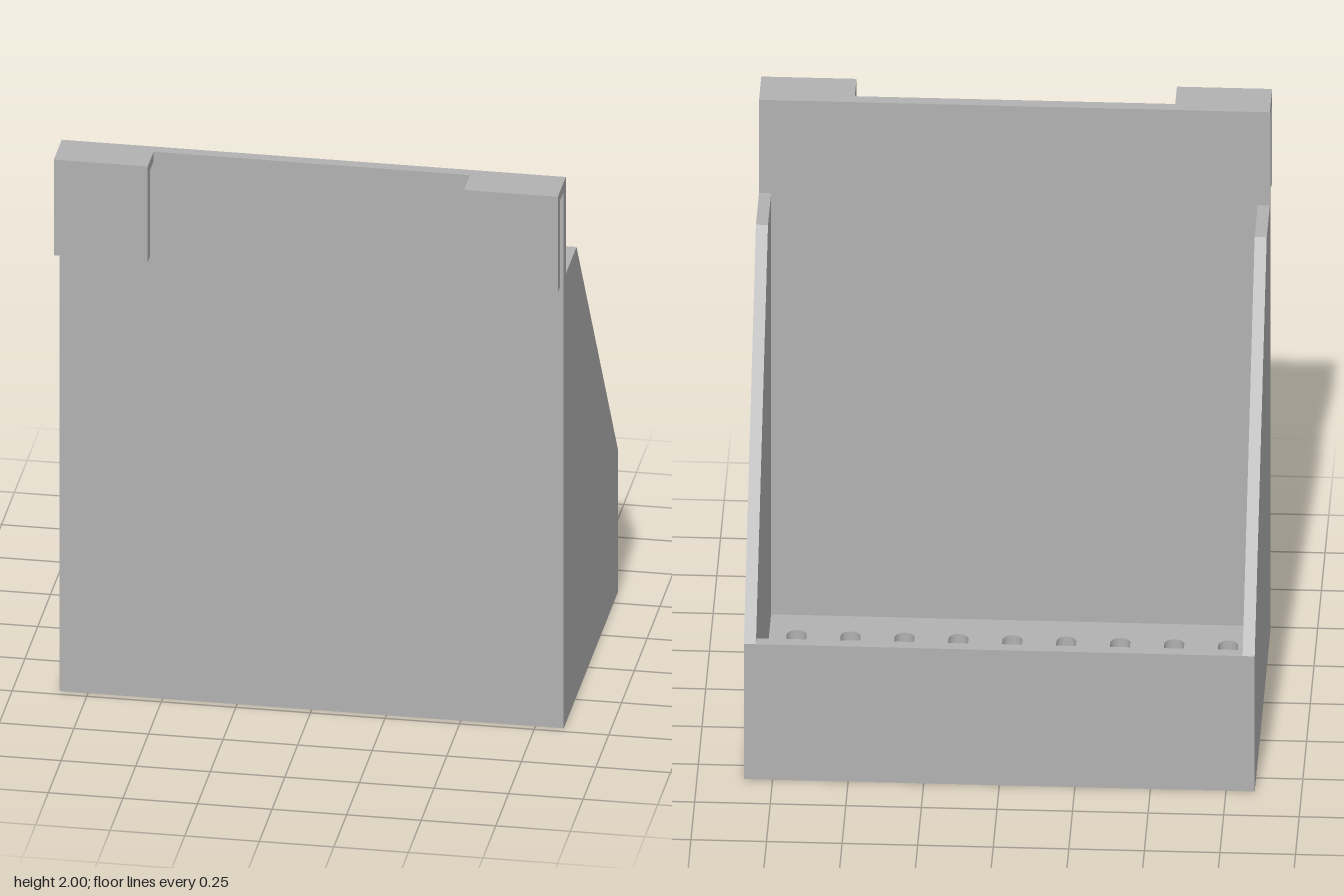
import * as THREE from 'three';

export function createModel() {
  const model = new THREE.Group();
  const grey = new THREE.MeshStandardMaterial({ color: 0xb2b2b2 });
  grey.name = 'light grey';

  const W = 0.845, T = 0.04;               // half width, wall thickness
  const BACK = -0.59, IN = 0.435, OUT = 0.475, HOOK = 0.59;

  const add = (name, geometry) => {
    const mesh = new THREE.Mesh(geometry, grey);
    mesh.name = name;
    model.add(mesh);
    return mesh;
  };
  // box given by its two extreme corners
  const box = (name, x0, x1, y0, y1, z0, z1) =>
    add(name, new THREE.BoxGeometry(x1 - x0, y1 - y0, z1 - z0))
      .position.set((x0 + x1) / 2, (y0 + y1) / 2, (z0 + z1) / 2);

  // tall hanging panel and low wall at the open end
  box('hangingPanel', -W, W, 0, 2, IN, OUT);
  box('lowWall', -W + T, W - T, 0, 0.515, BACK, BACK + T);

  // sloped side walls: profile drawn in (-z, y), then turned to run along x
  const profile = new THREE.Shape([
    [-IN, 0], [-BACK, 0], [-BACK, 0.515], [-0.225, 1.645], [-IN, 1.645],
  ].map(([a, b]) => new THREE.Vector2(a, b)));
  for (const [name, x] of [['leftSide', W - T], ['rightSide', -W]]) {
    const geometry = new THREE.ExtrudeGeometry(profile, { depth: T, bevelEnabled: false });
    geometry.rotateY(Math.PI / 2);
    add(name, geometry).position.x = x;
  }

  // floor with rounded drain slots, drawn in (x, -z) and laid flat
  const floor = new THREE.Shape();
  const fx = W - T;
  floor.moveTo(-fx, -IN).lineTo(fx, -IN).lineTo(fx, -BACK - T).lineTo(-fx, -BACK - T).closePath();
  const r = 0.033, low = -0.335 + r, high = 0.455 - r;
  for (let i = -4; i <= 4; i++) {
    const x = i * 0.1785;
    const slot = new THREE.Path();
    slot.moveTo(x - r, high).lineTo(x - r, low);
    slot.absarc(x, low, r, Math.PI, Math.PI * 2, false);
    slot.lineTo(x + r, high);
    slot.absarc(x, high, r, 0, Math.PI, false);
    floor.holes.push(slot);
  }
  const floorGeometry = new THREE.ExtrudeGeometry(floor, { depth: T, bevelEnabled: false, curveSegments: 12 });
  floorGeometry.rotateX(-Math.PI / 2);
  add('slottedFloor', floorGeometry);

  // two hooks: a bridge at the top and a lip hanging down
  for (const [side, x0, x1] of [['left', 0.53, W], ['right', -W, -0.53]]) {
    box(side + 'HookBridge', x0, x1, 1.965, 2, OUT, HOOK - T);
    box(side + 'HookLip', x0, x1, 1.65, 2, HOOK - T, HOOK);
  }
  return model;
}
